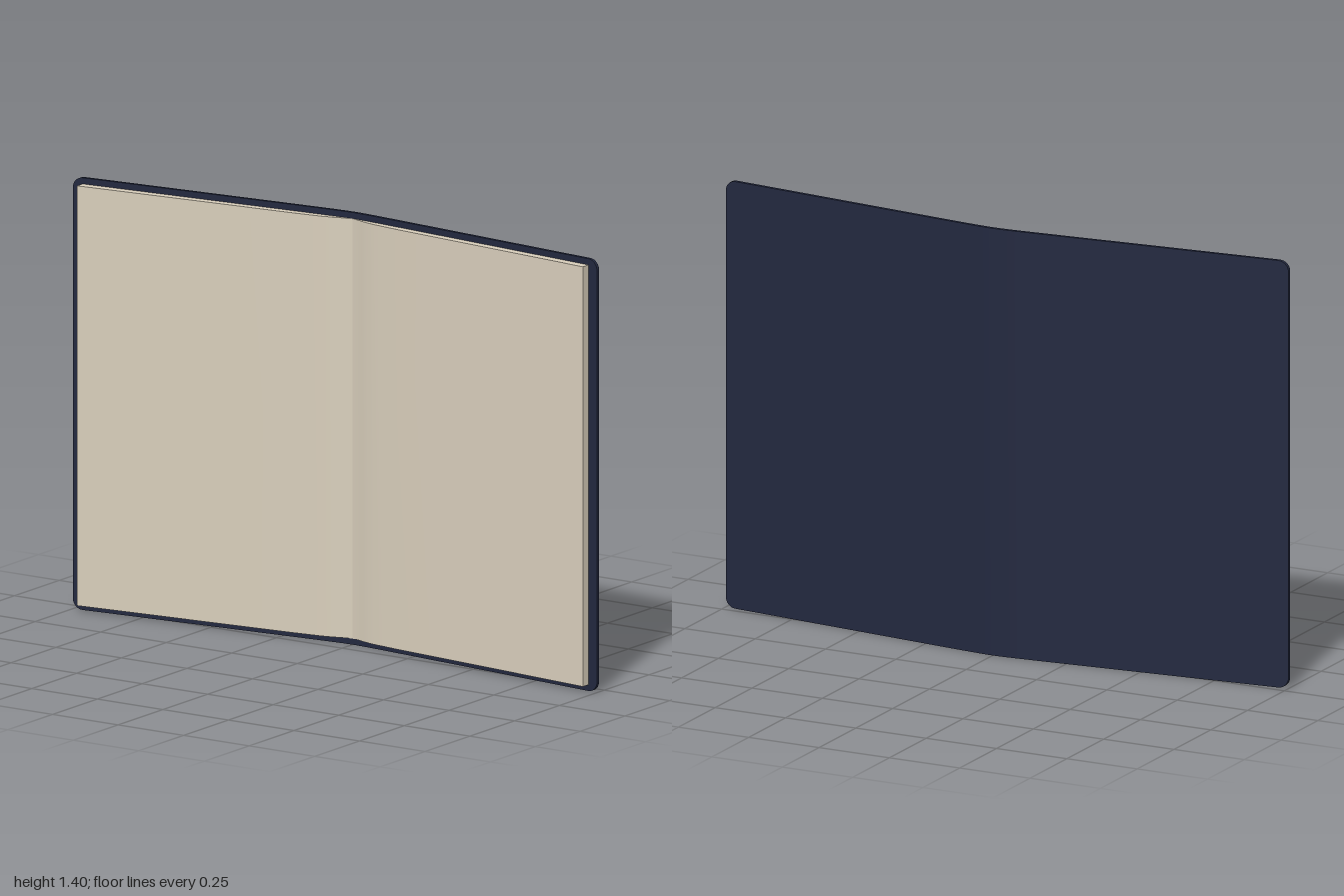
import * as THREE from 'three';
import { toCreasedNormals } from 'three/addons/utils/BufferGeometryUtils.js';

const HEIGHT = 1.4, THICK = 0.012, CORNER = 0.035;

// Back of the cover: a shallow V, rounded at the spine
const coverBack = x => -0.07 + 0.103 * (Math.hypot(x, 0.05) - 0.05);
const coverFront = x => coverBack(x) + THICK;

// Page stack thickness, thinning into the gutter
const stack = [[0, 0.001], [0.03, 0.008], [0.06, 0.016], [0.1, 0.022], [0.2, 0.026], [0.97, 0.031]];
function pageThickness(x) {
  const i = Math.max(1, stack.findIndex(p => p[0] >= x));
  const [x0, t0] = stack[i - 1], [x1, t1] = stack[i];
  return t0 + (t1 - t0) * (x - x0) / (x1 - x0);
}

// Solid lofted along x from rectangular sections [y0, y1, zBack, zFront]
function loft(xs, section) {
  const rings = xs.map(x => {
    const [y0, y1, zb, zf] = section(x);
    return [[x, y0, zb], [x, y1, zb], [x, y1, zf], [x, y0, zf]];
  });
  const pos = [];
  const quad = (a, b, c, d) => pos.push(...a, ...b, ...c, ...a, ...c, ...d);
  for (let i = 0; i < rings.length - 1; i++) {
    const r = rings[i], s = rings[i + 1];
    for (let k = 0; k < 4; k++) {
      const n = (k + 1) % 4;
      quad(r[k], r[n], s[n], s[k]);
    }
  }
  const a = rings[0], b = rings[rings.length - 1];
  quad(a[0], a[3], a[2], a[1]);
  quad(b[0], b[1], b[2], b[3]);
  const geo = new THREE.BufferGeometry();
  geo.setAttribute('position', new THREE.Float32BufferAttribute(pos, 3));
  return toCreasedNormals(geo, Math.PI / 6);
}

const mirrored = xs => [...xs.slice(1).map(x => -x).reverse(), ...xs];

export function createModel() {
  const book = new THREE.Group();
  book.name = 'openBook';
  const navy = new THREE.MeshStandardMaterial({ color: 0x22283f });
  const paper = new THREE.MeshStandardMaterial({ color: 0xd9cfbc });

  const add = (name, geo, mat) => {
    const mesh = new THREE.Mesh(geo, mat);
    mesh.name = name;
    book.add(mesh);
  };

  // Cover with rounded outer corners
  const half = [0, 0.015, 0.03, 0.05, 0.075, 0.1, 0.15, 0.25, 0.5, 0.75];
  for (let i = 0; i <= 8; i++) half.push(1 - CORNER + CORNER * Math.sin(i / 8 * Math.PI / 2));
  add('cover', loft(mirrored(half), x => {
    const u = Math.max(0, Math.abs(x) - (1 - CORNER));
    const inset = CORNER - Math.sqrt(Math.max(0, CORNER * CORNER - u * u));
    return [inset, HEIGHT - inset, coverBack(x), coverFront(x)];
  }), navy);

  // Two page blocks meeting at the gutter
  const pageXs = [0, 0.015, 0.03, 0.045, 0.06, 0.08, 0.1, 0.15, 0.2, 0.4, 0.6, 0.8, 0.965];
  const pageSection = x => {
    const z = coverFront(x);
    return [0.02, HEIGHT - 0.02, z, z + pageThickness(Math.abs(x))];
  };
  add('leftPages', loft(pageXs, pageSection), paper);
  add('rightPages', loft(pageXs.map(x => -x).reverse(), pageSection), paper);

  return book;
}
